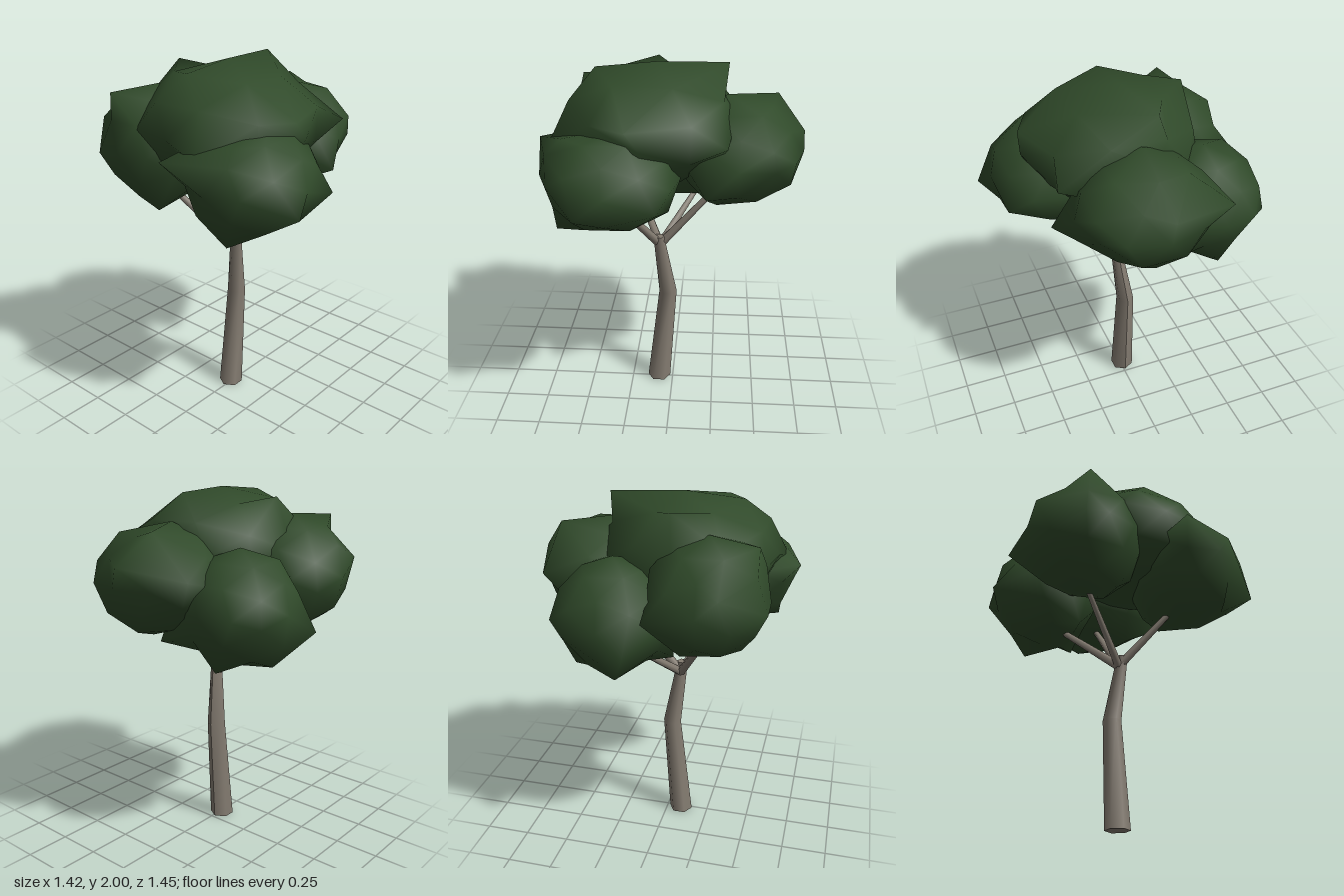
import * as THREE from 'three';
import { mergeVertices } from 'three/addons/utils/BufferGeometryUtils.js';

const bark = new THREE.MeshStandardMaterial({ color: 0x857d72 });
const leaf = new THREE.MeshStandardMaterial({ color: 0x304a2a });

// Leaf clumps: ellipsoid centre and radii, plus the few corners that stick out of it
const clumps = [
  { name: 'topFoliage', c: [-0.13, 1.68, 0.03], r: [0.49, 0.31, 0.48], corners: [
    [-0.63, 1.62, 0.25], [-0.41, 1.97, 0], [-0.08, 2, -0.01], [0.3, 1.99, -0.06],
    [-0.1, 1.96, -0.36], [0.36, 1.76, -0.02], [0.3, 1.68, 0.46], [-0.2, 1.77, 0.52]] },
  { name: 'frontRightFoliage', c: [-0.3, 1.48, 0.33], r: [0.37, 0.28, 0.34], corners: [
    [-0.71, 1.61, 0.09], [-0.43, 1.39, 0.72], [-0.04, 1.4, 0.64], [-0.58, 1.21, 0.4],
    [-0.12, 1.2, 0.25], [-0.53, 1.7, 0.4], [-0.2, 1.76, 0.35]] },
  { name: 'leftFoliage', c: [0.36, 1.54, 0.04], r: [0.34, 0.29, 0.38], corners: [
    [0.71, 1.65, 0.02], [0.55, 1.52, 0.34], [0.2, 1.42, 0.48], [0.59, 1.6, -0.35],
    [0.57, 1.82, -0.1], [0.42, 1.25, 0.05], [0.3, 1.84, 0.02]] },
  { name: 'backLeftFoliage', c: [0.2, 1.42, -0.36], r: [0.33, 0.3, 0.32], corners: [
    [0.05, 1.32, -0.73], [0.39, 1.38, -0.64], [0.47, 1.24, -0.05], [0.42, 1.12, -0.38],
    [0.15, 1.12, -0.54], [-0.09, 1.15, -0.25]] },
  { name: 'backRightFoliage', c: [-0.29, 1.54, -0.33], r: [0.33, 0.31, 0.34], corners: [
    [-0.61, 1.52, -0.47], [-0.4, 1.64, -0.67], [-0.03, 1.5, -0.68], [-0.55, 1.84, -0.42],
    [-0.45, 1.21, -0.2]] },
];

// Lumpy, smooth-shaded icosphere whose nearest vertices move to the given corners
function clumpGeometry({ c, r, corners }, seed) {
  let g = new THREE.IcosahedronGeometry(1, 1);
  g.deleteAttribute('uv');
  g.deleteAttribute('normal');
  g = mergeVertices(g, 1e-3);
  const p = g.attributes.position;
  const centre = new THREE.Vector3(...c), radii = new THREE.Vector3(...r);
  const v = new THREE.Vector3();
  const dirs = [];
  for (let i = 0; i < p.count; i++) {
    v.fromBufferAttribute(p, i);
    dirs.push(v.clone());
    v.multiplyScalar(1 + 0.04 * Math.sin(i * 2.4 + seed * 1.7)).multiply(radii).add(centre);
    p.setXYZ(i, v.x, Math.min(v.y, 2), v.z);
  }
  const used = new Set();
  for (const corner of corners) {
    v.set(...corner).sub(centre).divide(radii).normalize();
    let best = -1, score = -2;
    dirs.forEach((d, i) => {
      if (!used.has(i) && d.dot(v) > score) { score = d.dot(v); best = i; }
    });
    used.add(best);
    p.setXYZ(best, ...corner);
  }
  g.computeVertexNormals();
  return g;
}

// Six-sided trunk with a bend partway up
function trunkGeometry() {
  const g = new THREE.CylinderGeometry(1, 1, 2, 6, 2, false, Math.PI / 2);
  const levels = [ // x, y, z, radius
    [-0.085, 0, -0.011, 0.069], [-0.028, 0.62, -0.012, 0.052], [-0.078, 1, 0.028, 0.031]];
  const p = g.attributes.position;
  for (let i = 0; i < p.count; i++) {
    const [x, y, z, r] = levels[Math.round(p.getY(i)) + 1];
    p.setXYZ(i, x + p.getX(i) * r, y, z + p.getZ(i) * r);
  }
  g.computeVertexNormals();
  return g;
}

// Tapered branch between two points
function branch(from, to) {
  const a = new THREE.Vector3(...from), b = new THREE.Vector3(...to);
  const d = b.clone().sub(a);
  const m = new THREE.Mesh(new THREE.CylinderGeometry(0.016, 0.026, d.length(), 6), bark);
  m.position.copy(a).add(b).multiplyScalar(0.5);
  m.quaternion.setFromUnitVectors(new THREE.Vector3(0, 1, 0), d.normalize());
  return m;
}

export function createModel() {
  const tree = new THREE.Group();
  tree.name = 'tree';

  const trunk = new THREE.Mesh(trunkGeometry(), bark);
  trunk.name = 'trunk';
  tree.add(trunk);

  // Branches fan out from the fork, one into each outer clump
  const fork = [-0.072, 0.94, 0.008];
  const tips = {
    frontRightBranch: [-0.28, 1.3, 0.28],
    backRightBranch: [-0.27, 1.28, -0.3],
    leftBranch: [0.25, 1.31, 0.02],
    backLeftBranch: [0.14, 1.2, -0.28],
  };
  for (const [name, tip] of Object.entries(tips)) {
    const b = branch(fork, tip);
    b.name = name;
    tree.add(b);
  }

  clumps.forEach((clump, i) => {
    const m = new THREE.Mesh(clumpGeometry(clump, i), leaf);
    m.name = clump.name;
    tree.add(m);
  });
  return tree;
}
